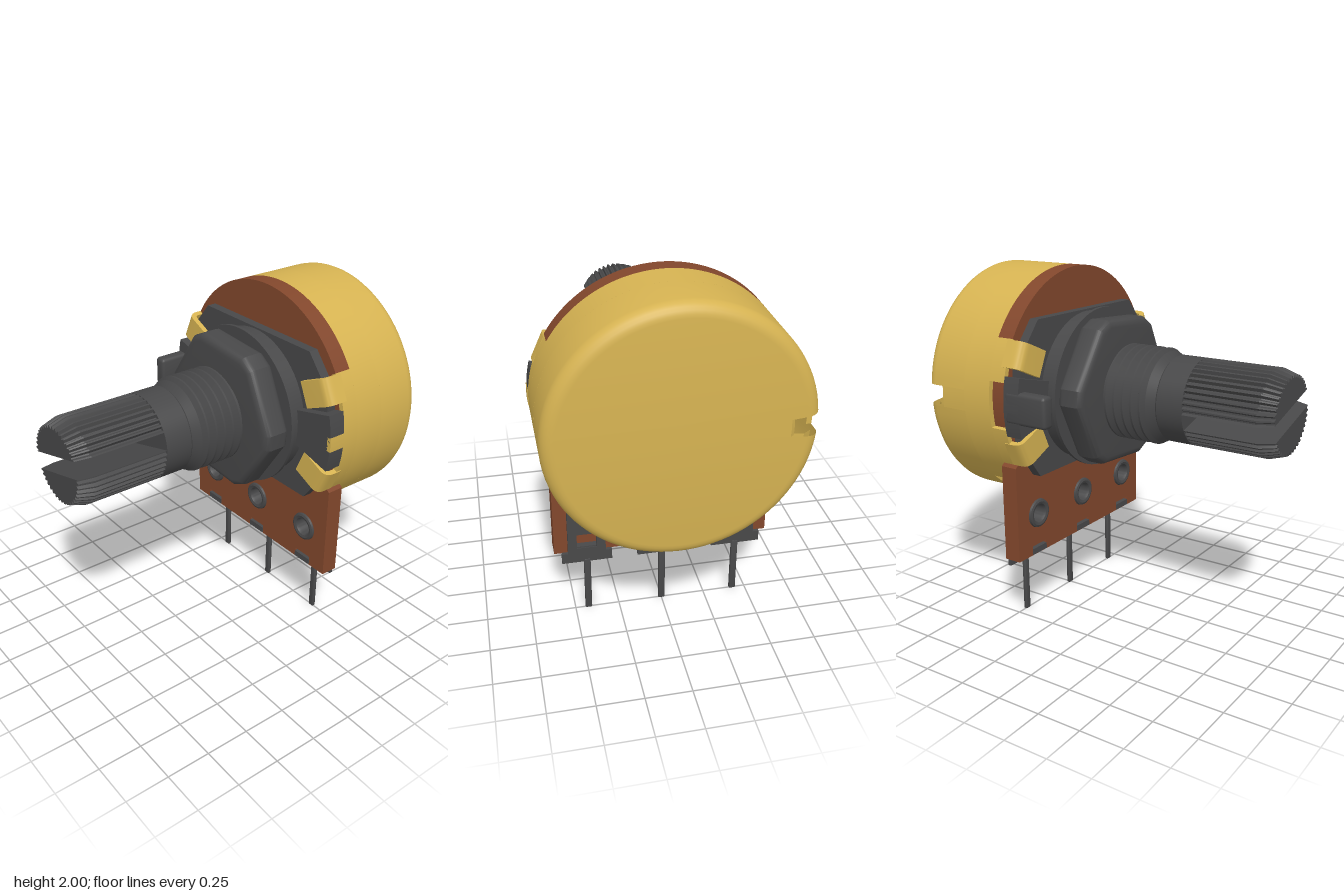
import * as THREE from 'three';
import { toCreasedNormals } from 'three/addons/utils/BufferGeometryUtils.js';
import { RoundedBoxGeometry } from 'three/addons/geometries/RoundedBoxGeometry.js';

const paint = (color) => new THREE.MeshStandardMaterial({ color, side: THREE.DoubleSide });
const gold = paint(0xd6b352), brown = paint(0x82472c), dark = paint(0x484849);
const D = Math.PI / 180;
const CY = 1.317, R = 0.683; // height of the main axis, can radius

export function createModel() {
  const model = new THREE.Group();
  const body = new THREE.Group(); // everything measured from the main axis
  body.name = 'body';
  body.position.y = CY;
  model.add(body);

  const add = (name, geo, mat, parent = body, crease = 0.5) => {
    const mesh = new THREE.Mesh(toCreasedNormals(geo, crease), mat);
    mesh.name = name;
    parent.add(mesh);
    return mesh;
  };
  const poly = (pts) => new THREE.Shape(pts.map((p) => new THREE.Vector2(...p)));
  const slab = (shape, z0, z1, extra = {}) =>
    new THREE.ExtrudeGeometry(shape, { depth: z1 - z0, bevelEnabled: false, curveSegments: 32, ...extra }).translate(0, 0, z0);
  // profile of [radius, z] turned around the z axis
  const turn = (pts, seg = 64, start = 0, len = Math.PI * 2) =>
    new THREE.LatheGeometry(pts.map((p) => new THREE.Vector2(...p)), seg, start, len).rotateX(Math.PI / 2);
  // curved wall between two angles in degrees
  const wall = (r0, r1, z0, z1, a0, a1) => {
    const s = new THREE.Shape();
    s.absarc(0, 0, r1, a0 * D, a1 * D, false);
    s.absarc(0, 0, r0, a1 * D, a0 * D, true);
    return slab(s, z0, z1, { curveSegments: Math.max(6, Math.ceil((a1 - a0) / 5)) });
  };
  const rectHole = (x, y, w, h) => new THREE.Path([[x - w, y - h], [x - w, y + h], [x + w, y + h], [x + w, y - h]]
    .map((p) => new THREE.Vector2(...p)));
  const roundHole = (x, y, r) => new THREE.Path().absarc(x, y, r, 0, Math.PI * 2, true);

  // can: rounded cup with a small notch in the rim on the right side
  const rim = [];
  for (let i = 0; i <= 6; i++) {
    const a = (i / 6) * Math.PI / 2;
    rim.push([R - 0.07 + 0.07 * Math.sin(a), -0.885 - 0.07 * Math.cos(a)]);
  }
  const half = 5 * D, notch = 1.5 * Math.PI;
  add('canCup', turn([[0, -0.955], ...rim, [R, -0.67], [0.655, -0.67], [0.655, -0.89], [0.61, -0.925], [0, -0.925]],
    90, notch + half, 2 * Math.PI - 2 * half), gold);
  add('canNotchFloor', turn([[0, -0.955], [0.53, -0.955], [0.55, -0.94], [0.55, -0.87], [0.525, -0.87], [0.525, -0.925], [0, -0.925]],
    4, notch - half, 2 * half), gold);
  add('canNotchWall', turn([[0.655, -0.83], [R, -0.83], [R, -0.67], [0.655, -0.67]], 4, notch - half, 2 * half), gold);
  add('canWall', wall(0.655, R, -0.67, -0.49, -46.7, 226.7), gold);
  for (const [a0, a1] of [[-31, 31], [149, 169], [191, 211]]) add('canSkirt', wall(0.655, R, -0.49, -0.39, a0, a1), gold);
  add('canTooth', wall(0.66, 0.686, -0.39, -0.29, -3.5, 3.5), gold);

  // four tabs folded over the front plate
  const fold = new THREE.Shape();
  fold.moveTo(R, -0.42);
  fold.lineTo(R, -0.36);
  fold.quadraticCurveTo(R, -0.305, 0.63, -0.305);
  fold.lineTo(0.49, -0.305);
  fold.lineTo(0.49, -0.335);
  fold.lineTo(0.63, -0.335);
  fold.quadraticCurveTo(0.655, -0.335, 0.655, -0.36);
  fold.lineTo(0.655, -0.42);
  for (const a of [24.2, -24.2, 155.8, 204.2]) {
    const geo = slab(fold, -0.075, 0.075, { curveSegments: 8 }).rotateX(Math.PI / 2);
    add('foldedTab', geo, gold).rotation.z = a * D;
  }

  // circuit board with eyelet holes and terminal slots
  const board = new THREE.Shape();
  board.moveTo(-0.605, -0.927);
  board.lineTo(0.605, -0.927);
  board.lineTo(0.605, -0.367);
  board.lineTo(0.56, -0.33);
  board.absarc(0, 0, 0.654, -30 * D, 31 * D, false);
  board.absarc(0, 0, R, 31 * D, 149 * D, false);
  board.absarc(0, 0, 0.654, 149 * D, 210 * D, false);
  board.lineTo(-0.56, -0.33);
  board.lineTo(-0.605, -0.367);
  const columns = [-0.425, 0, 0.425];
  for (const x of columns) board.holes.push(roundHole(x, -0.682, 0.06), rectHole(x, -0.897, 0.06, 0.025));
  add('circuitBoard', slab(board, -0.49, -0.39), brown);

  // terminals: arched plate, eyelet, folded tang and pin
  for (const x of columns) {
    const terminal = new THREE.Group();
    terminal.name = 'terminal';
    terminal.position.x = x;
    body.add(terminal);
    const s = new THREE.Shape();
    s.moveTo(-0.14, -0.987);
    s.lineTo(0.14, -0.987);
    s.lineTo(0.14, -0.925);
    s.lineTo(0.105, -0.925);
    s.absarc(0, -0.652, 0.105, 0, Math.PI, false);
    s.lineTo(-0.105, -0.925);
    s.lineTo(-0.14, -0.925);
    s.holes.push(roundHole(0, -0.682, 0.05), rectHole(0, -0.85, 0.055, 0.045));
    add('terminalPlate', slab(s, -0.51, -0.49), dark, terminal);
    add('eyelet', turn([[0.05, -0.51], [0.062, -0.51], [0.062, -0.39], [0.085, -0.39], [0.082, -0.378],
      [0.07, -0.373], [0.055, -0.378], [0.05, -0.395], [0.05, -0.51]], 32).translate(0, -0.682, 0), dark, terminal);
    add('tang', new THREE.BoxGeometry(0.12, 0.035, 0.12).translate(0, -0.905, -0.445), dark, terminal);
    add('pin', new RoundedBoxGeometry(0.038, 0.347, 0.024, 2, 0.008).translate(0, -1.1435, -0.5), dark, terminal);
  }

  // front plate, side wings and locating lug
  add('frontPlate', slab(poly([[-0.46, -0.44], [0.46, -0.44], [0.6, -0.25], [0.6, 0.25], [0.44, 0.44],
    [-0.44, 0.44], [-0.6, 0.25], [-0.6, -0.25]]), -0.39, -0.335), dark);
  for (const a of [0, 180]) add('sideWing', wall(0.42, R, -0.39, -0.29, a - 14, a + 14), dark);
  add('locatingLug', new RoundedBoxGeometry(0.075, 0.175, 0.27, 2, 0.02).translate(-0.645, 0, -0.25), dark);
  add('plateBoss', turn([[0, -0.39], [0.43, -0.39], [0.43, -0.24], [0, -0.24]]), dark);
  add('washer', turn([[0, -0.24], [0.46, -0.24], [0.46, -0.22], [0, -0.22]]), dark);

  // hexagonal nut with rounded front edge
  const hex = [];
  for (let i = 0; i < 6; i++) {
    for (const d of [-5, 5]) {
      const a = (i * 60 - 4 + d) * D;
      hex.push([0.405 * Math.cos(a), 0.405 * Math.sin(a)]);
    }
  }
  add('nut', slab(poly(hex), -0.18, -0.1, { bevelEnabled: true, bevelThickness: 0.04, bevelSize: 0.04, bevelSegments: 4 }), dark);

  // threaded bushing
  const thread = [[0, -0.1], [0.235, -0.1]];
  for (let i = 0; i < 5; i++) {
    const z = -0.055 + i * 0.055;
    thread.push([0.235, z], [0.27, z + 0.022], [0.27, z + 0.033]);
  }
  thread.push([0.235, 0.22], [0.255, 0.225], [0.19, 0.285], [0, 0.285]);
  add('threadedBushing', turn(thread), dark, body, 0.3);

  // shaft: smooth collar and two knurled halves either side of a slot
  const shaft = new THREE.Group();
  shaft.name = 'shaft';
  shaft.rotation.z = 16 * D;
  body.add(shaft);
  add('shaftCollar', turn([[0, 0.275], [0.232, 0.275], [0.24, 0.285], [0.24, 0.44], [0, 0.44]]), dark, shaft);
  const gap = 0.048, a0 = Math.asin(gap / 0.24), teeth = 19, knurl = [];
  for (let i = 0; i <= teeth * 4; i++) {
    const a = a0 + (i / (teeth * 4)) * (Math.PI - 2 * a0);
    const r = i % 4 < 2 ? 0.24 : 0.222;
    knurl.push([r * Math.cos(a), Math.max(gap, r * Math.sin(a))]);
  }
  for (const turnBy of [0, Math.PI]) {
    const geo = slab(poly(knurl), 0.435, 0.955, { steps: 6 });
    const p = geo.attributes.position;
    for (let i = 0; i < p.count; i++) { // chamfered tip
      if (p.getZ(i) > 0.95) p.setXY(i, p.getX(i) * 0.88, gap + (p.getY(i) - gap) * 0.86);
    }
    add('knurledHalf', geo, dark, shaft, 0.2).rotation.z = turnBy;
  }
  return model;
}
